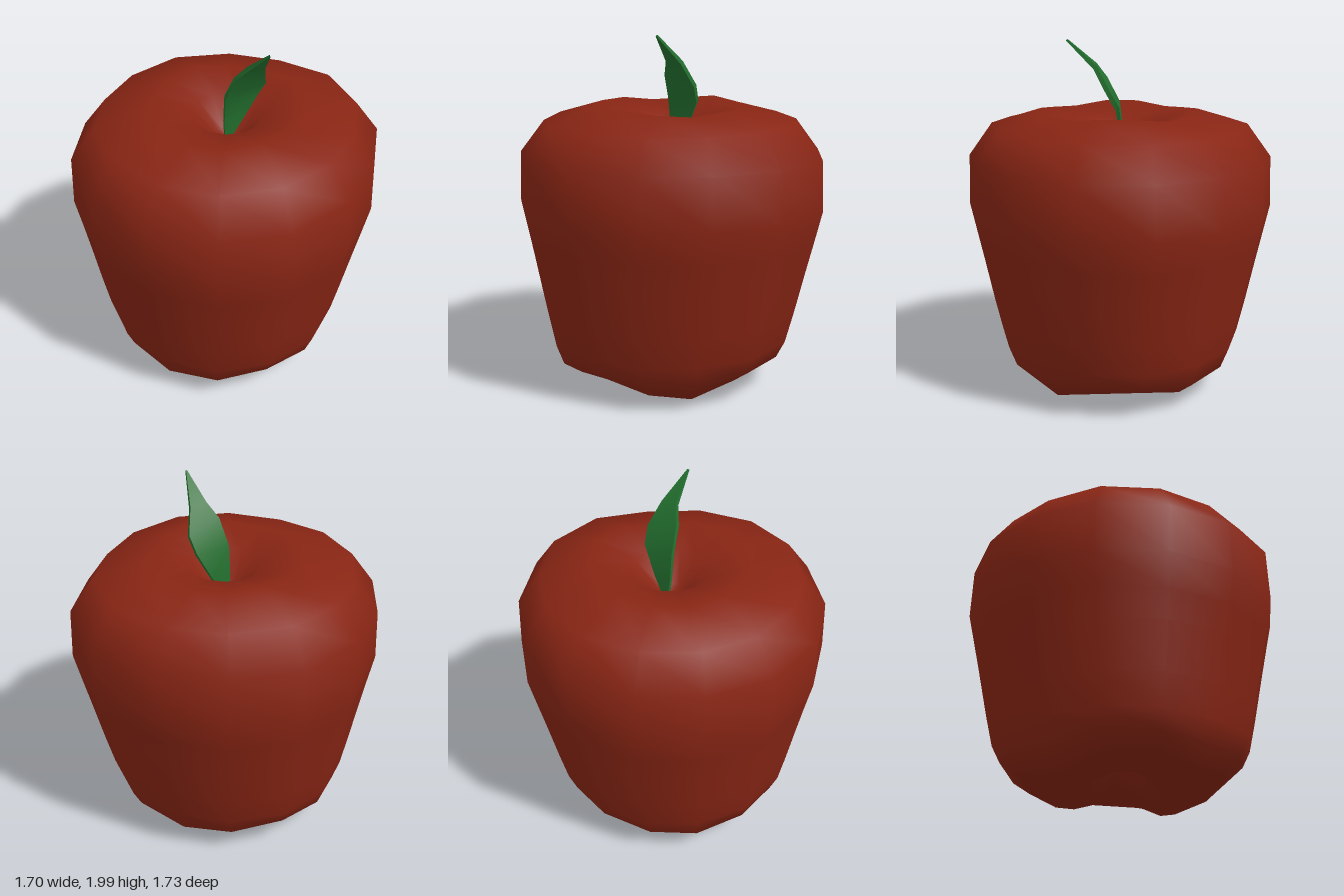
import * as THREE from 'three';
import { mergeVertices, toCreasedNormals } from 'three/addons/utils/BufferGeometryUtils.js';

// Lathed fruit body with a slightly uneven outline, four lobes below and a dimple at each end
function createBody() {
  // radius, height, lift between the diagonal lobes, tilt of two opposite lobes
  const rings = [
    [0, 0.26, 0, 0], [0.08, 0.21, 0, 0], [0.2, 0.09, 0.03, 0], [0.39, 0, 0.11, 0.03],
    [0.55, 0.04, 0.09, 0.03], [0.655, 0.15, 0.05, 0], [0.7, 0.28, 0.01, 0], [0.74, 0.46, 0, 0],
    [0.795, 0.72, 0, 0], [0.83, 0.88, 0, 0], [0.87, 1.06, 0, 0], [0.86, 1.34, 0, 0],
    [0.725, 1.515, 0.01, 0], [0.44, 1.58, 0.03, 0], [0.21, 1.535, 0, 0], [0.08, 1.4, 0, 0],
    [0, 1.36, 0, 0],
  ];
  // widest outline (x, z), starting at the front and turning towards +x
  const outline = [
    [-0.03, 0.86], [0.35, 0.76], [0.63, 0.52], [0.84, 0.2], [0.85, -0.21], [0.64, -0.55],
    [0.35, -0.78], [-0.03, -0.87], [-0.4, -0.76], [-0.67, -0.53], [-0.85, -0.2],
    [-0.85, 0.18], [-0.69, 0.52], [-0.4, 0.78],
  ];
  const sides = outline.length;
  const profile = rings.map(([r, y]) => new THREE.Vector2(r, y));
  let geo = new THREE.LatheGeometry(profile, sides);
  const pos = geo.attributes.position;
  for (let i = 0; i < pos.count; i++) {
    const [r, y, lift, tilt] = rings[i % rings.length];
    const side = Math.floor(i / rings.length) % sides;
    const angle = (side / sides) * Math.PI * 2;
    const [ox, oz] = outline[side];
    const lean = -0.03 * Math.max(0, 1 - y);
    pos.setXYZ(
      i,
      ox * r / 0.87 + lean,
      y + lift * (1 + Math.cos(4 * angle)) / 2 + tilt * Math.max(0, -Math.sin(2 * angle)),
      oz * r / 0.87,
    );
  }
  // Weld the seam so the shading stays smooth
  geo.deleteAttribute('uv');
  geo.deleteAttribute('normal');
  geo = mergeVertices(geo, 1e-4);
  geo.computeVertexNormals();
  const mesh = new THREE.Mesh(geo, new THREE.MeshStandardMaterial({ color: 0x882514 }));
  mesh.name = 'fruitBody';
  return mesh;
}

// Thin curved leaf, skinned over left and right edge points from base to tip
function createLeaf() {
  // left edge, right edge, thickness
  const rows = [
    [[-0.01, 1.34, -0.02], [0.01, 1.34, -0.02], 0.02],
    [[-0.02, 1.47, -0.01], [0.09, 1.47, -0.01], 0.02],
    [[-0.02, 1.63, 0.01], [0.17, 1.62, 0.01], 0.025],
    [[0.005, 1.77, 0.08], [0.19, 1.71, 0.06], 0.025],
    [[0.055, 1.85, 0.135], [0.15, 1.84, 0.13], 0.025],
    [[0.097, 1.99, 0.28], [0.103, 1.99, 0.28], 0.012],
  ];
  const points = [];
  for (const [l, r, t] of rows) {
    const back = ([x, y, z]) => [x, y + t * 0.6, z - t * 0.8];
    points.push(...l, ...r, ...back(r), ...back(l));
  }
  const index = [];
  for (let i = 0; i < rows.length - 1; i++) {
    for (let k = 0; k < 4; k++) {
      const a = i * 4 + k, b = i * 4 + (k + 1) % 4;
      index.push(a, b, b + 4, a, b + 4, a + 4);
    }
  }
  const geo = new THREE.BufferGeometry();
  geo.setAttribute('position', new THREE.Float32BufferAttribute(points, 3));
  geo.setIndex(index);
  const mesh = new THREE.Mesh(
    toCreasedNormals(geo, 0.8),
    new THREE.MeshStandardMaterial({ color: 0x23702f, side: THREE.DoubleSide }),
  );
  mesh.name = 'leaf';
  return mesh;
}

export function createModel() {
  const model = new THREE.Group();
  model.name = 'apple';
  model.add(createBody(), createLeaf());
  return model;
}
